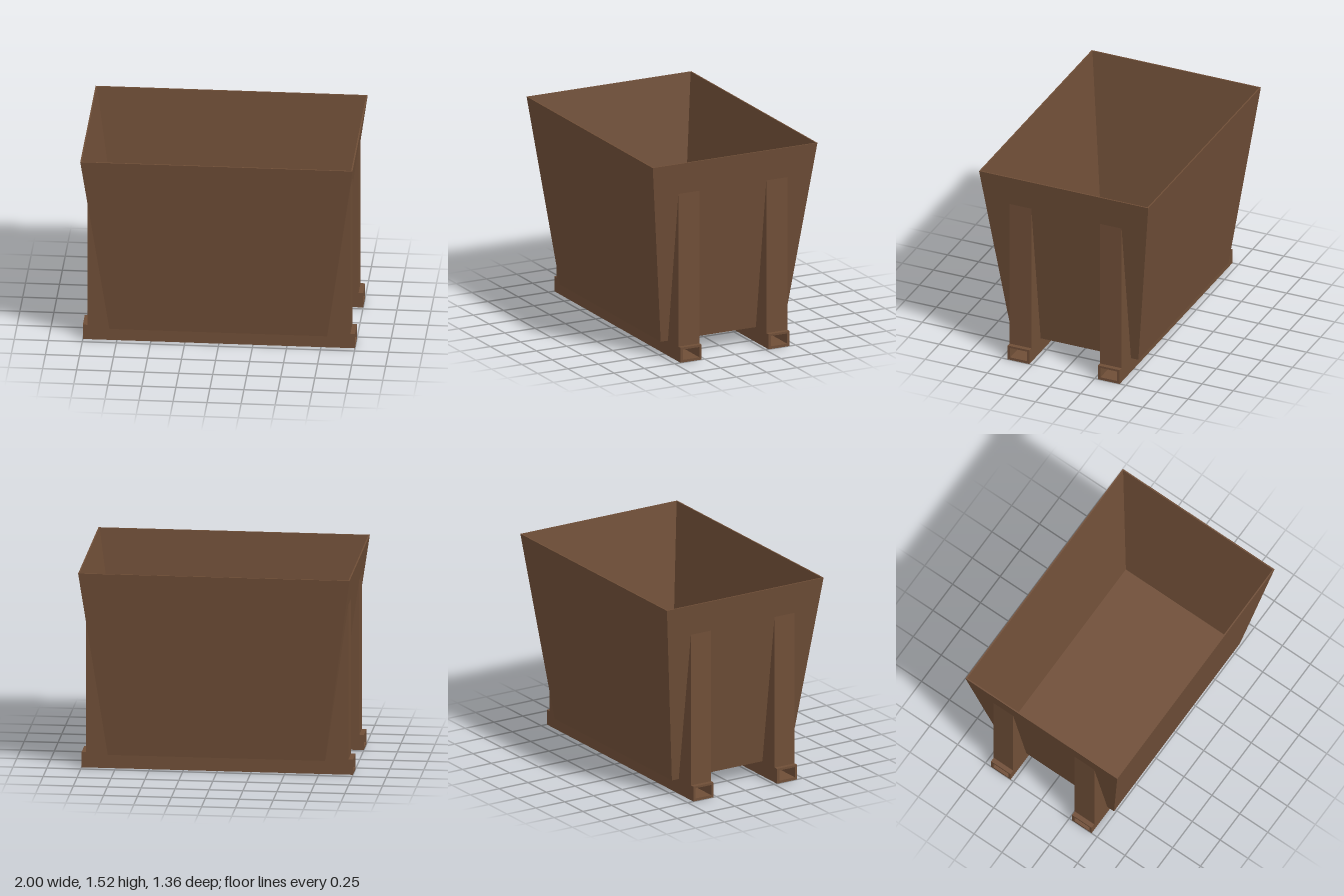
import * as THREE from 'three';

const BOTTOM = 0.115, TOP = 1.525;

// Rectangular rings [halfX, halfZ, y] joined in order into a flat-faced skin
function loftRectangles(rings) {
  const corners = [[-1, 1], [1, 1], [1, -1], [-1, -1]];
  const point = ([hx, hz, y], k) => [corners[k % 4][0] * hx, y, corners[k % 4][1] * hz];
  const positions = [];
  for (let i = 0; i < rings.length - 1; i++) {
    const lower = rings[i], upper = rings[i + 1];
    for (let k = 0; k < 4; k++) {
      const a = point(lower, k), b = point(lower, k + 1);
      const c = point(upper, k + 1), d = point(upper, k);
      if (lower[0] > 0) positions.push(...a, ...b, ...c);
      if (upper[0] > 0) positions.push(...a, ...c, ...d);
      else positions.push(...a, ...b, ...d);
    }
  }
  const geometry = new THREE.BufferGeometry();
  geometry.setAttribute('position', new THREE.Float32BufferAttribute(positions, 3));
  geometry.computeVertexNormals();
  return geometry;
}

function rectangle(Type, x0, y0, x1, y1) {
  const path = new Type();
  path.moveTo(x0, y0);
  path.lineTo(x1, y0);
  path.lineTo(x1, y1);
  path.lineTo(x0, y1);
  path.closePath();
  return path;
}

export function createModel() {
  const group = new THREE.Group();
  const material = new THREE.MeshStandardMaterial({ color: 0x6f4e37, flatShading: true });
  const add = (name, geometry) => {
    const mesh = new THREE.Mesh(geometry, material);
    mesh.name = name;
    group.add(mesh);
    return mesh;
  };

  // Open tapered bin with thin walls and a floor
  add('bin', loftRectangles([
    [0, 0, BOTTOM],
    [0.8, 0.51, BOTTOM],
    [1, 0.68, TOP],
    [0.99, 0.67, TOP],
    [0.788, 0.503, BOTTOM + 0.01],
    [0, 0, BOTTOM + 0.01],
  ]));

  // Hollow rectangular runner section, centred on its own axis
  const width = 0.175, wall = 0.02;
  const section = rectangle(THREE.Shape, -width / 2, 0, width / 2, BOTTOM);
  section.holes.push(rectangle(THREE.Path, -width / 2 + wall, wall, width / 2 - wall, BOTTOM - wall * 0.8));
  const runnerGeometry = new THREE.ExtrudeGeometry(section, { depth: 2, bevelEnabled: false });
  runnerGeometry.translate(0, 0, -1).rotateY(Math.PI / 2);

  // Upright wedge filling the gap between the sloping end wall and the vertical
  const wedge = new THREE.Shape([
    new THREE.Vector2(0.8, BOTTOM),
    new THREE.Vector2(0.966, BOTTOM),
    new THREE.Vector2(0.966, 1.285),
  ]);
  const wedgeGeometry = new THREE.ExtrudeGeometry(wedge, { depth: width, bevelEnabled: false });
  wedgeGeometry.translate(0, 0, -width / 2);

  for (const [end, z] of [['front', 0.363], ['back', -0.363]]) {
    add(end + 'Runner', runnerGeometry).position.z = z;
    for (const [side, turn] of [['Left', 0], ['Right', Math.PI]]) {
      const post = add(end + side + 'Post', wedgeGeometry);
      post.position.z = z;
      post.rotation.y = turn;
    }
  }
  return group;
}
